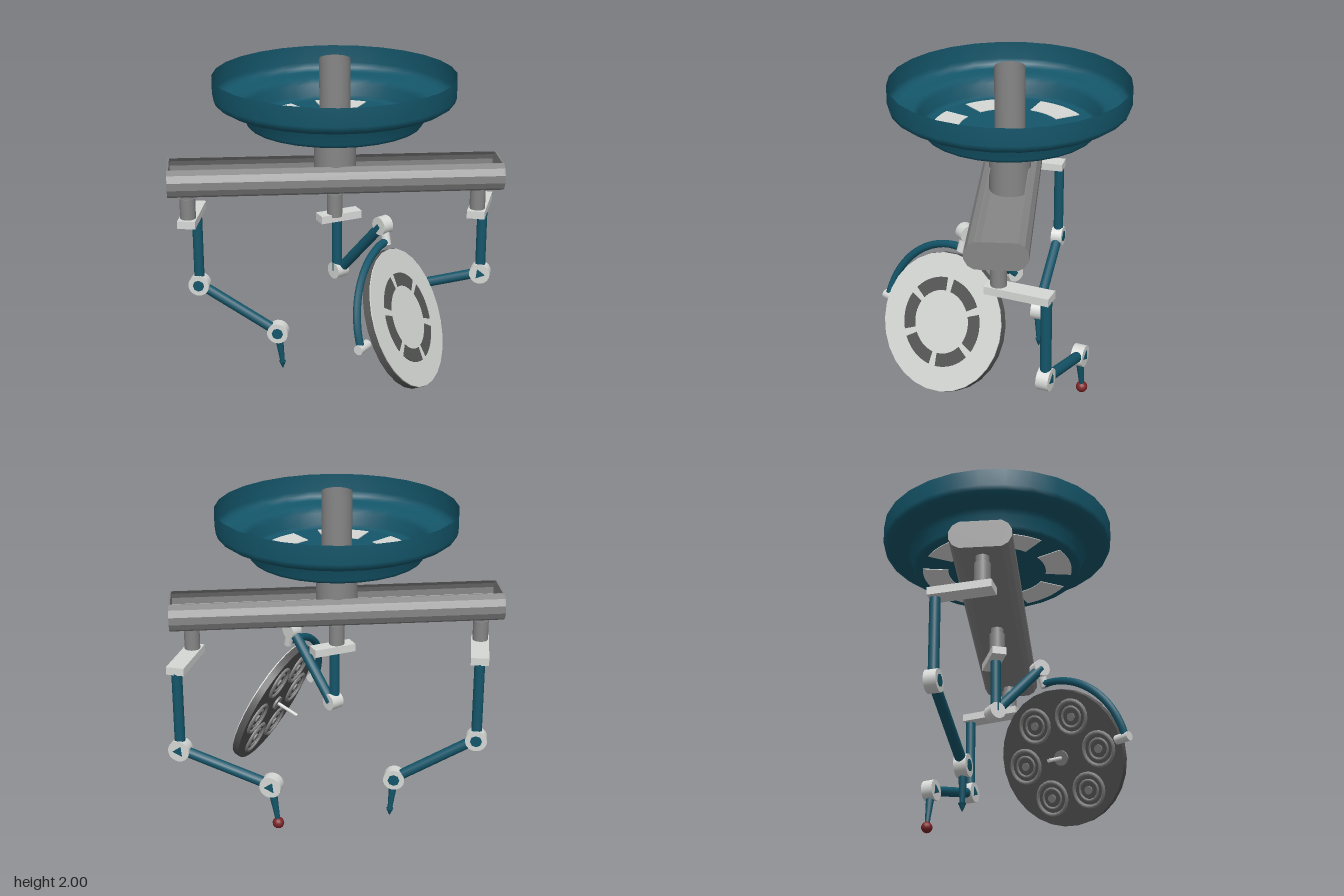
import * as THREE from 'three';

const mat = (name, color, side = THREE.FrontSide) => {
  const m = new THREE.MeshStandardMaterial({ color, side });
  m.name = name;
  return m;
};
const V = (x, y, z) => new THREE.Vector3(x, y, z);

export function createModel() {
  const teal = mat('teal', 0x14566a, THREE.DoubleSide);
  const grey = mat('grey', 0x868686, THREE.DoubleSide);
  const light = mat('light grey', 0xd6d8d6);
  const dark = mat('dark grey', 0x565656);
  const red = mat('red', 0x7c2226);
  const model = new THREE.Group();

  const add = (parent, name, geo, material) => {
    const m = new THREE.Mesh(geo, material);
    m.name = name;
    parent.add(m);
    return m;
  };
  // Round rod from a to b
  const rod = (parent, name, a, b, ra, rb, material, sides = 14) => {
    const d = b.clone().sub(a);
    const m = add(parent, name, new THREE.CylinderGeometry(rb, ra, d.length(), sides), material);
    m.position.copy(a).addScaledVector(d, 0.5);
    m.quaternion.setFromUnitVectors(V(0, 1, 0), d.normalize());
    return m;
  };
  // Flat bar from a to b, running past both ends
  const bar = (parent, name, a, b, width, height, extA, extB, material) => {
    const d = b.clone().sub(a), len = d.length();
    d.normalize();
    const m = add(parent, name, new THREE.BoxGeometry(width, height, len + extA + extB), material);
    m.position.copy(a).addScaledVector(d, (len + extB - extA) / 2);
    m.rotation.y = Math.atan2(d.x, d.z);
    return m;
  };
  // Pivot drum with a small plate on each face
  const joint = (parent, p, axis, r, thick, plateSides) => {
    const off = axis.clone().multiplyScalar(thick / 2);
    rod(parent, 'joint', p.clone().sub(off), p.clone().add(off), r, r, light, 20);
    if (!plateSides) return;
    off.multiplyScalar(1 + 0.008 / thick);
    rod(parent, 'jointPlate', p.clone().sub(off), p.clone().add(off), r * 0.55, r * 0.55, teal, plateSides);
  };
  // Ring segment plate in the XY plane, angles in degrees
  const segment = (inner, outer, mid, sweep, depth) => {
    const a = THREE.MathUtils.degToRad(mid - sweep / 2), b = THREE.MathUtils.degToRad(mid + sweep / 2);
    const s = new THREE.Shape();
    s.absarc(0, 0, outer, a, b, false);
    s.absarc(0, 0, inner, b, a, true);
    return new THREE.ExtrudeGeometry(s, { depth, bevelEnabled: false, curveSegments: 8 });
  };

  // Ceiling dish, open at the top, with six panes in its floor
  const ceiling = new THREE.Group();
  ceiling.name = 'ceilingMount';
  ceiling.position.set(0.005, 0, 0.042);
  model.add(ceiling);
  const lathe = (pts, n) => new THREE.LatheGeometry(pts.map(p => new THREE.Vector2(...p)), n);
  add(ceiling, 'dish', lathe([[0, 1.63], [0.47, 1.63], [0.497, 1.632], [0.508, 1.65], [0.522, 1.715],
    [0.545, 1.745], [0.6, 1.752], [0.655, 1.757], [0.683, 1.775], [0.693, 1.805], [0.693, 1.91]], 28), teal);
  for (let i = 0; i < 6; i++) {
    const pane = add(ceiling, 'dishPane', segment(0.295, 0.45, -15 + 60 * i, 40, 0.009).rotateX(Math.PI / 2), light);
    pane.position.y = 1.6345;
  }

  // Central column
  const tube = (name, r, y0, y1, open) => {
    const m = add(ceiling, name, new THREE.CylinderGeometry(r, r, y1 - y0, 24, 1, open), grey);
    m.position.y = (y0 + y1) / 2;
  };
  tube('upperColumn', 0.088, 1.55, 2, true);
  tube('lowerColumn', 0.121, 1.25, 1.565, false);
  add(ceiling, 'columnShoulder', lathe([[0.121, 1.565], [0.112, 1.585], [0.1, 1.59], [0.1, 1.62], [0.088, 1.625]], 24), grey);

  // Crossbeam: open-topped channel with end caps
  const beam = new THREE.Group();
  beam.name = 'crossbeam';
  beam.position.set(0.006, 1.316, 0.04);
  beam.rotation.set(-0.008, Math.atan2(-0.575, 0.818), 0, 'YXZ');
  model.add(beam);
  const half = [[0.115, 0.081], [0.15, 0.06], [0.171, 0.022], [0.171, -0.022], [0.15, -0.06], [0.115, -0.081]];
  const mirror = half.map(([x, y]) => [-x, y]).reverse();
  const outer = [...half, ...mirror];
  const inner = outer.map(([x, y]) => [x * 0.94, y * (y > 0.08 ? 1 : 0.88)]).reverse();
  const shape = pts => new THREE.Shape(pts.map(p => new THREE.Vector2(...p)));
  const extrude = (pts, depth) => new THREE.ExtrudeGeometry(shape(pts), { depth, bevelEnabled: false });
  add(beam, 'channel', extrude([...outer, ...inner], 1.91), grey).position.z = -0.955;
  for (const z of [-0.965, 0.955]) add(beam, 'endCap', extrude(outer, 0.01), grey).position.z = z;

  // Hanging post below the beam
  const post = (parent, x, z) => {
    rod(parent, 'postNeck', V(x, 1.18, z), V(x, 1.27, z), 0.038, 0.038, grey);
    rod(parent, 'post', V(x, 1.06, z), V(x, 1.2, z), 0.046, 0.046, grey);
  };

  // Two outer tool arms
  const toolArm = (name, p, knee, wrist, tip, plateSides) => {
    const g = new THREE.Group();
    g.name = name;
    model.add(g);
    post(g, p[0], p[1]);
    const k = V(...knee), w = V(...wrist), t = V(...tip);
    bar(g, 'swingBar', V(p[0], 1.053, p[1]), V(k.x, 1.053, k.z), 0.105, 0.046, 0.065, 0.03, light);
    rod(g, 'upperLeg', V(k.x, 1.035, k.z), k, 0.031, 0.031, teal);
    rod(g, 'forearm', k, w, 0.031, 0.031, teal);
    const axis = V(w.z - k.z, 0, k.x - w.x).normalize();
    joint(g, k, axis, 0.064, 0.07, plateSides);
    joint(g, w, axis, 0.064, 0.07, plateSides);
    rod(g, 'tool', w, t, 0.028, 0.014, teal);
    return g;
  };
  const probe = toolArm('probeArm', [-0.485, 0.742], [-0.67, 0.545, 0.555], [-0.315, 0.25, 0.23], [-0.307, 0.04, 0.207], 8);
  rod(probe, 'probeTip', V(-0.307, 0.045, 0.207), V(-0.306, 0, 0.206), 0.022, 0.003, teal);
  const ballArm = toolArm('ballArm', [0.488, -0.65], [0.325, 0.55, -0.87], [-0.117, 0.385, -0.545], [-0.147, 0.17, -0.527], 3);
  add(ballArm, 'ballTip', new THREE.SphereGeometry(0.034, 14, 10), red).position.set(-0.15, 0.145, -0.525);

  // Middle arm carrying the lamp
  const lampArm = new THREE.Group();
  lampArm.name = 'lampArm';
  model.add(lampArm);
  post(lampArm, 0.004, 0.042);
  bar(lampArm, 'swingBar', V(-0.02, 1.053, 0.09), V(0.025, 1.053, -0.07), 0.085, 0.046, 0.045, 0.045, light);
  rod(lampArm, 'upperLeg', V(0.003, 1.035, 0.025), V(0.003, 0.71, 0.025), 0.031, 0.031, teal);
  rod(lampArm, 'forearm', V(0.003, 0.71, 0.0), V(0.34, 1.08, -0.025), 0.031, 0.031, teal);
  joint(lampArm, V(0.003, 0.712, 0.015), V(0, 0, 1), 0.05, 0.08);
  joint(lampArm, V(0.34, 1.08, -0.03), V(0, 0, 1), 0.053, 0.065);
  rod(lampArm, 'yokePivot', V(0.345, 1.08, -0.035), V(0.378, 0.97, -0.03), 0.026, 0.026, light);

  // Curved yoke reaching around the lamp
  const c = V(0.51, 0.55, -0.05), u = V(-0.14, 0.44, 0.02), v = V(0.135, 0, 0.45);
  const arc = [];
  for (let i = 0; i <= 10; i++) {
    const t = (i / 10) * Math.PI / 2;
    arc.push(c.clone().addScaledVector(u, Math.cos(t)).addScaledVector(v, Math.sin(t)));
  }
  add(lampArm, 'yoke', new THREE.TubeGeometry(new THREE.CatmullRomCurve3(arc), 24, 0.023, 8), teal);
  rod(lampArm, 'yokeEnd', c.clone().addScaledVector(v, 1.06), c.clone().addScaledVector(v, 0.86), 0.028, 0.028, light);

  // Lamp head: pale outer face, dark inner face with six cups and a handle
  const lamp = new THREE.Group();
  lamp.name = 'lampHead';
  lamp.position.copy(c);
  lamp.lookAt(c.clone().add(V(0.83, 0.4, -0.39)));
  model.add(lamp);
  const drum = (name, r, z0, z1, material, x = 0, y = 0, sides = 28) => {
    const m = add(lamp, name, new THREE.CylinderGeometry(r, r, z1 - z0, sides).rotateX(Math.PI / 2), material);
    m.position.set(x, y, (z0 + z1) / 2);
  };
  drum('lampBody', 0.408, -0.022, 0.02, dark);
  drum('lampCover', 0.406, 0.02, 0.026, light);
  drum('lampHub', 0.045, -0.036, -0.022, grey);
  drum('handle', 0.011, -0.18, -0.02, light, 0, 0, 10);
  for (let i = 0; i < 6; i++) {
    add(lamp, 'coverSlot', segment(0.185, 0.262, 60 * i, 50, 0.004), dark).position.z = 0.025;
    const a = (i * Math.PI) / 3, x = 0.255 * Math.cos(a), y = 0.255 * Math.sin(a);
    add(lamp, 'cupRim', new THREE.TorusGeometry(0.098, 0.012, 6, 20), grey).position.set(x, y, -0.024);
    add(lamp, 'cupInnerRing', new THREE.TorusGeometry(0.06, 0.008, 6, 16), grey).position.set(x, y, -0.023);
    drum('bulb', 0.025, -0.032, -0.022, grey, x, y, 12);
  }
  return model;
}
